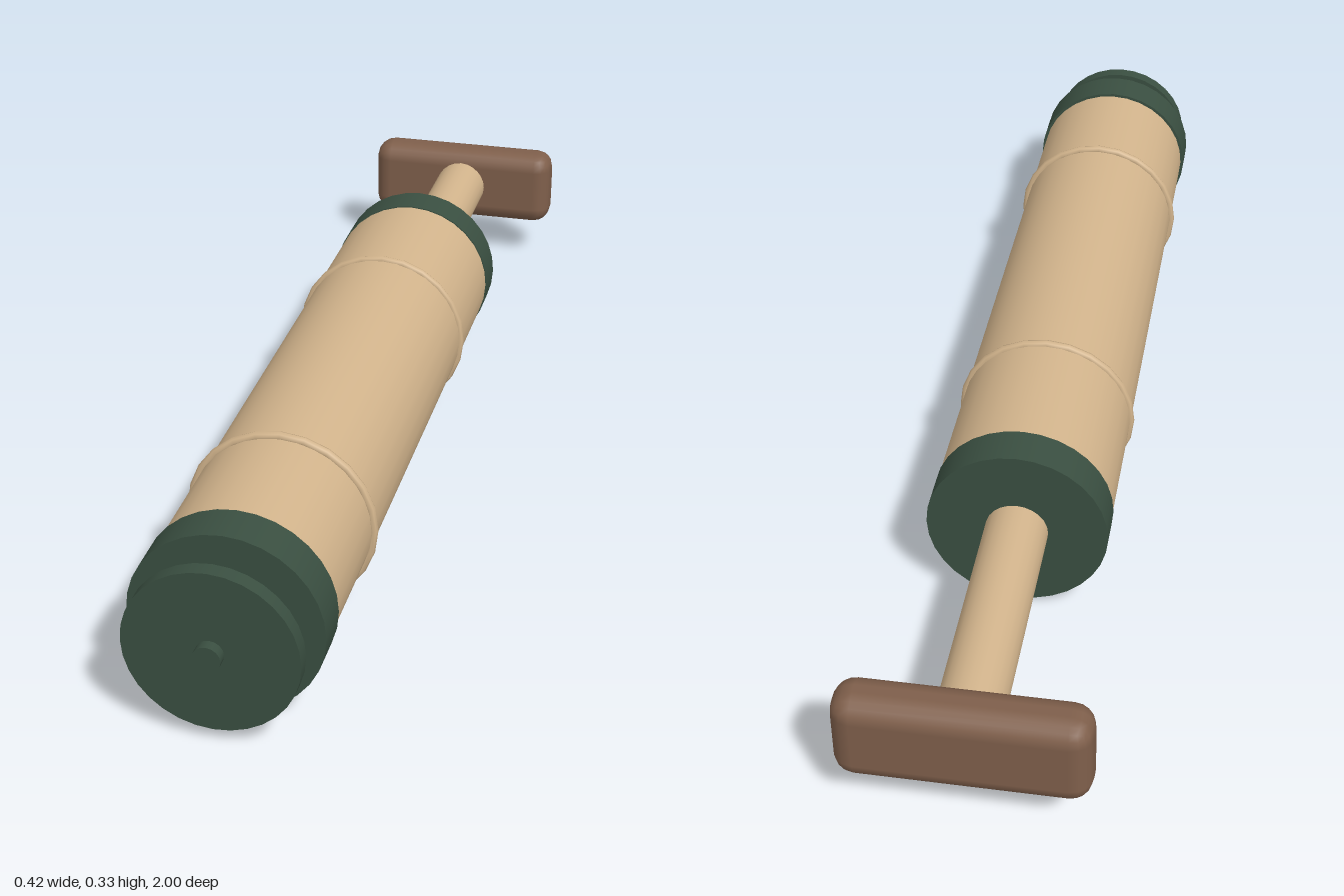
import * as THREE from 'three';
import { RoundedBoxGeometry } from 'three/addons/geometries/RoundedBoxGeometry.js';

const AXIS_Y = 0.168;

export function createModel() {
  const group = new THREE.Group();
  const material = (name, color) => {
    const m = new THREE.MeshStandardMaterial({ color });
    m.name = name;
    return m;
  };
  const tan = material('tan', 0xd2b48c);
  const green = material('dark green', 0x3a4f41);
  const brown = material('brown', 0x7f5f4b);

  const add = (name, geometry, mat, z) => {
    const mesh = new THREE.Mesh(geometry, mat);
    mesh.name = name;
    mesh.position.set(0, AXIS_Y, z);
    group.add(mesh);
    return mesh;
  };

  // Cylinder lying along z, from the back z0 to the front z1
  const rod = (name, rBack, rFront, z0, z1, mat, sides = 32) =>
    add(name, new THREE.CylinderGeometry(rFront, rBack, z1 - z0, sides).rotateX(Math.PI / 2),
      mat, (z0 + z1) / 2);

  // Slightly tapered barrel with a cap at each end
  rod('barrel', 0.16, 0.156, -0.43, 0.87, tan);
  rod('rearCap', 0.162, 0.162, -0.465, -0.39, green);
  rod('frontCap', 0.162, 0.162, 0.83, 0.905, green);

  // Raised bands round the barrel
  for (const [name, z] of [['rearBand', -0.125], ['frontBand', 0.59]]) {
    add(name, new THREE.TorusGeometry(0.159, 0.008, 8, 24), tan, z);
  }

  // Loose end plate with a small nozzle
  rod('endPlate', 0.144, 0.144, 0.955, 0.982, green);
  rod('nozzle', 0.023, 0.023, 0.975, 1, green, 16);

  // Plunger and its grip
  rod('plungerRod', 0.056, 0.056, -0.95, -0.46, tan, 24);
  add('handle', new RoundedBoxGeometry(0.416, 0.166, 0.09, 2, 0.037), brown, -0.955);

  return group;
}
